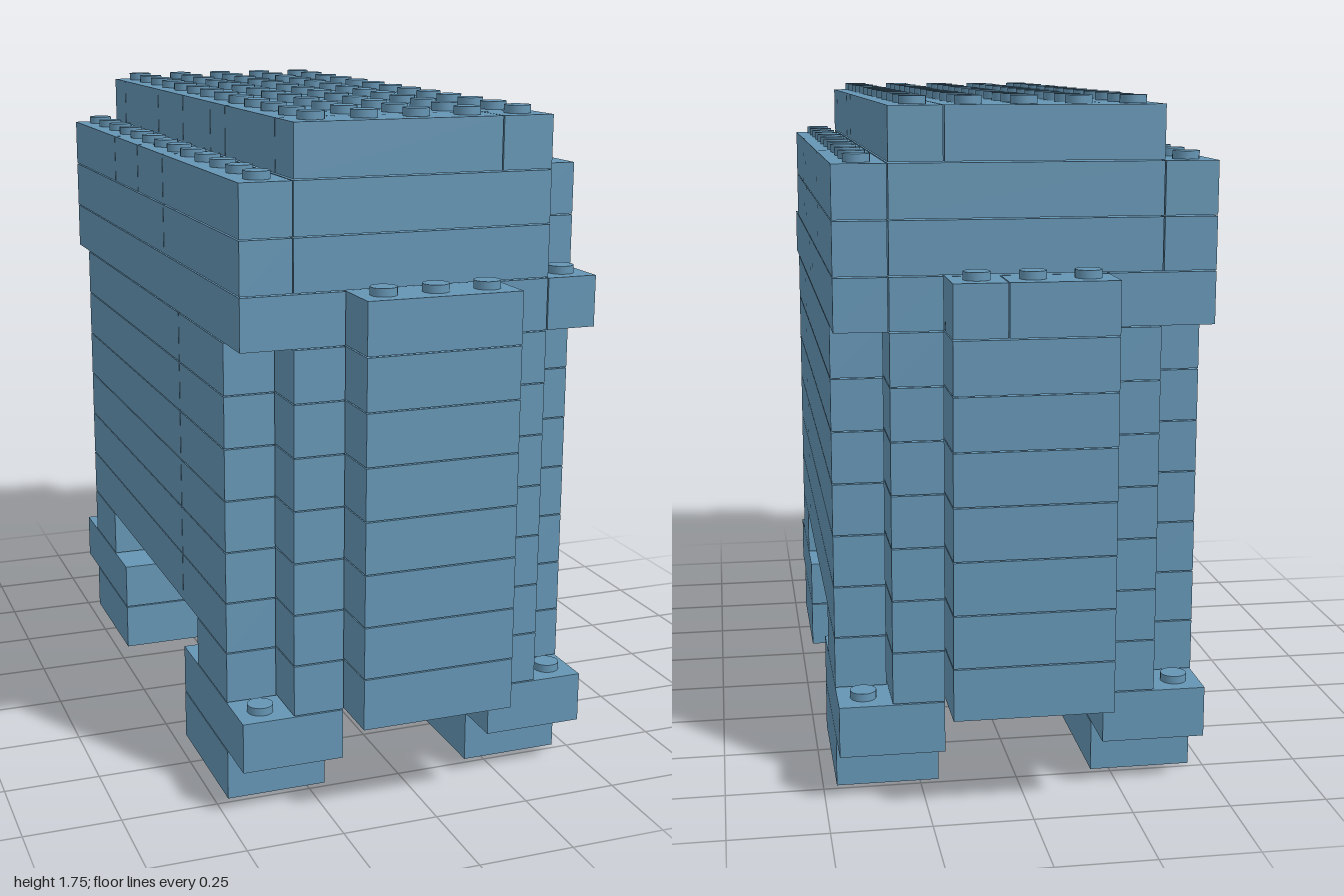
import * as THREE from 'three';

const U = 2 / 15;      // stud pitch, also the height of one layer
const GAP = 0.003;     // seam between bricks

export function createModel() {
  const model = new THREE.Group();
  model.name = 'brickBuild';
  const blue = new THREE.MeshStandardMaterial({ color: 0x6595b4 });
  blue.name = 'steelBlue';
  const studGeometry = new THREE.CylinderGeometry(0.033, 0.033, 0.02, 20);

  const part = (name) => {
    const g = new THREE.Group();
    g.name = name;
    model.add(g);
    return g;
  };

  // One brick on a given layer; extents are in stud units
  const brick = (group, layer, x0, x1, z0, z1) => {
    const geometry = new THREE.BoxGeometry((x1 - x0) * U - GAP, U - GAP, (z1 - z0) * U - GAP);
    const mesh = new THREE.Mesh(geometry, blue);
    mesh.name = 'brick';
    mesh.position.set((x0 + x1) / 2 * U, (layer + 0.5) * U, (z0 + z1) / 2 * U);
    group.add(mesh);
  };

  // A row of bricks along z, cut at the listed positions
  const row = (group, layer, x0, x1, cuts) => {
    for (let i = 0; i < cuts.length - 1; i++) brick(group, layer, x0, x1, cuts[i], cuts[i + 1]);
  };

  // Stud standing on top of a layer
  const stud = (group, layer, x, z) => {
    const mesh = new THREE.Mesh(studGeometry, blue);
    mesh.name = 'stud';
    mesh.position.set(x * U, (layer + 1) * U + 0.009, z * U);
    group.add(mesh);
  };

  // Feet: two layers, the upper one reaching one stud further out
  const feet = part('feet');
  for (const s of [-1, 1]) {
    const [x0, x1] = s > 0 ? [1.5, 3.5] : [-3.5, -1.5];
    for (const e of [-1, 1]) {
      const span = (a, b) => (e > 0 ? [a, b] : [-b, -a]);
      brick(feet, 0, x0, x1, ...span(2.5, 5.5));
      brick(feet, 1, x0, x1, ...span(2.5, 6.5));
      stud(feet, 1, 3 * s, 6 * e);
    }
    stud(feet, 1, 3 * s, -3 * s);
  }

  // Body: stepped plan, with a recess in the lowest layer between the feet
  const body = part('body');
  for (let layer = 2; layer <= 8; layer++) {
    brick(body, layer, -1.5, 1.5, -7.5, 7.5);
    for (const s of [-1, 1]) {
      const span = (a, b) => (s > 0 ? [a, b] : [-b, -a]);
      brick(body, layer, ...span(1.5, 2.5), -6.5, 6.5);
      if (layer === 2) {
        brick(body, layer, ...span(2.5, 3.5), 3.5, 5.5);
        brick(body, layer, ...span(2.5, 3.5), -5.5, -3.5);
      } else {
        row(body, layer, ...span(2.5, 3.5), [-5.5, 2.5, 5.5]);
      }
    }
  }

  // Ledge: covers the stepped corners, ends carry three studs each
  const ledge = part('ledge');
  brick(ledge, 9, -1.5, 1.5, -6.5, 7.5);
  brick(ledge, 9, -1.5, 0.5, -7.5, -6.5);
  brick(ledge, 9, 0.5, 1.5, -7.5, -6.5);
  brick(ledge, 9, -3.5, -1.5, -6.5, 6.5);
  brick(ledge, 9, 1.5, 2.5, -6.5, 6.5);
  row(ledge, 9, 2.5, 3.5, [-6.5, -0.5, 0.5, 6.5]);
  for (const x of [-1, 0, 1]) for (const z of [-7, 7]) stud(ledge, 9, x, z);
  stud(ledge, 9, 3, 6);

  // Upper walls: two layers, notched at the front left corner
  const upper = part('upperWalls');
  for (const layer of [10, 11]) {
    brick(upper, layer, -2.5, 2.5, -6.5, 6.5);
    row(upper, layer, -3.5, -2.5, layer === 10 ? [-6.5, 1.5, 6.5] : [-6.5, -2.5, -0.5, 1.5, 6.5]);
    row(upper, layer, 2.5, 3.5, [-6.5, -2.5, 1.5, 2.5, 5.5]);
  }
  for (let z = -6; z <= 6; z++) {
    stud(upper, 11, -3, z);
    if (z < 6) stud(upper, 11, 3, z);
  }

  // Roof: patchwork of bricks covered with studs
  const roof = part('roof');
  row(roof, 12, 1.5, 2.5, [-6.5, 1.5, 2.5, 5.5, 6.5]);
  row(roof, 12, -2.5, 1.5, [-6.5, -5.5]);
  row(roof, 12, -2.5, 1.5, [-2.5, -0.5, 1.5, 2.5]);
  row(roof, 12, -2.5, 1.5, [5.5, 6.5]);
  row(roof, 12, -2.5, -1.5, [-5.5, -2.5]);
  row(roof, 12, -2.5, -1.5, [2.5, 5.5]);
  row(roof, 12, -1.5, 1.5, [-5.5, -3.5, -2.5]);
  row(roof, 12, -1.5, 1.5, [2.5, 4.5, 5.5]);
  for (let x = -2; x <= 2; x++) for (let z = -6; z <= 6; z++) stud(roof, 12, x, z);

  return model;
}
